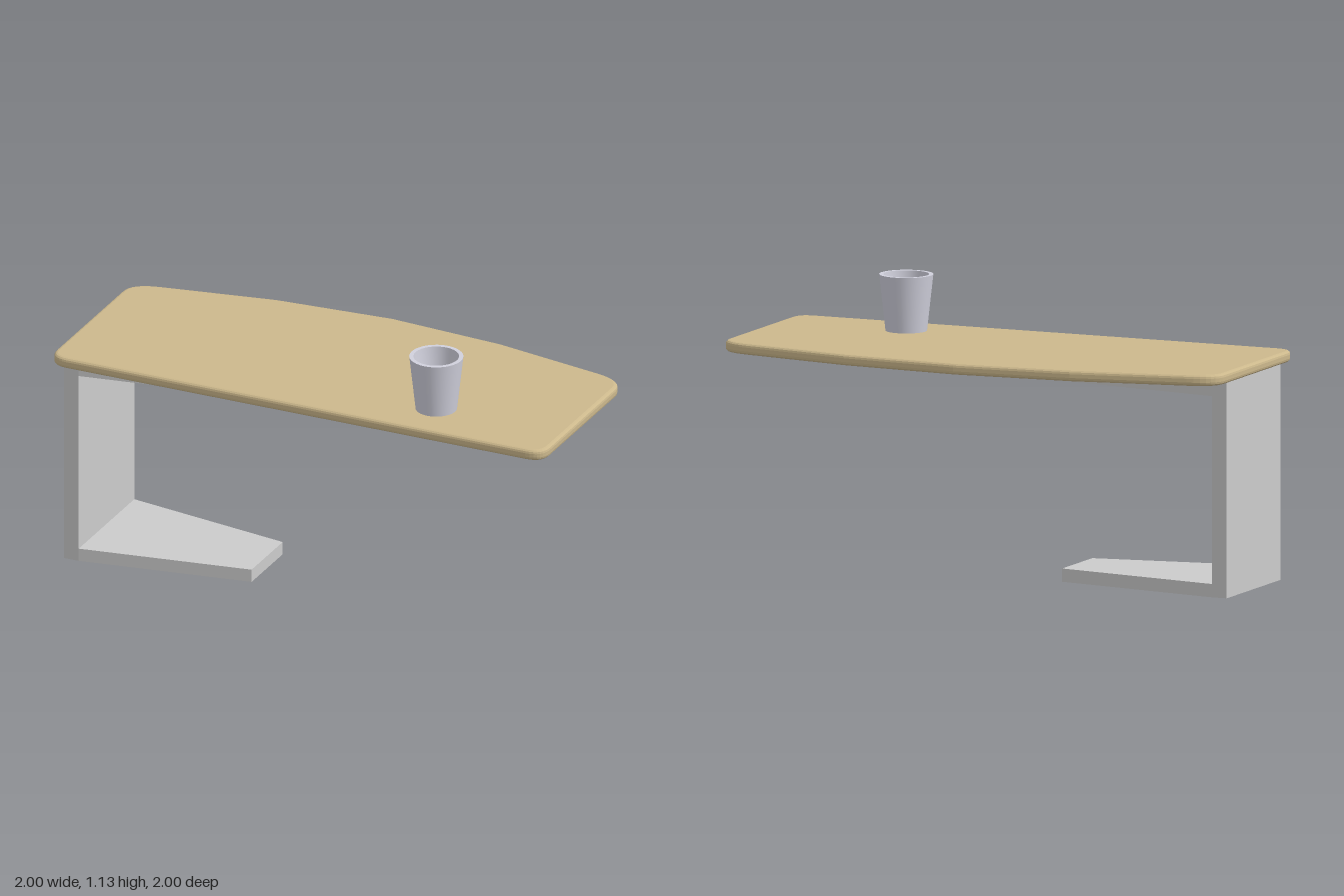
import * as THREE from 'three';

const wood = new THREE.MeshStandardMaterial({ color: 0xccb88c });
const grey = new THREE.MeshStandardMaterial({ color: 0xcccccc });
const cupGrey = new THREE.MeshStandardMaterial({ color: 0xd0d0dc });

// Flat slab: outline in plan, extruded upwards from y0 to y1, with optional rounded rim
function slab(name, shape, y0, y1, material, bevel = 0) {
  const geometry = new THREE.ExtrudeGeometry(shape, {
    depth: y1 - y0 - 2 * bevel,
    bevelEnabled: bevel > 0,
    bevelThickness: bevel,
    bevelSize: bevel,
    bevelOffset: -bevel,
    bevelSegments: 3,
    curveSegments: 8,
  });
  geometry.rotateX(-Math.PI / 2).translate(0, y0 + bevel, 0);
  const mesh = new THREE.Mesh(geometry, material);
  mesh.name = name;
  return mesh;
}

// Straight front edge, faceted bowed back edge, four rounded corners
function topOutline() {
  const s = new THREE.Shape();
  s.moveTo(-1.0, -0.375);
  s.lineTo(1.0, -0.375);
  s.quadraticCurveTo(1.075, -0.375, 1.075, -0.3);
  s.lineTo(1.075, 0.297);
  s.quadraticCurveTo(1.075, 0.381, 0.955, 0.403);
  s.lineTo(0.488, 0.488);
  s.lineTo(0, 0.523);
  s.lineTo(-0.488, 0.488);
  s.lineTo(-0.955, 0.403);
  s.quadraticCurveTo(-1.075, 0.381, -1.075, 0.297);
  s.lineTo(-1.075, -0.3);
  s.quadraticCurveTo(-1.075, -0.375, -1.0, -0.375);
  return s;
}

const polygon = (points) => new THREE.Shape(points.map(([x, y]) => new THREE.Vector2(x, y)));

export function createModel() {
  const model = new THREE.Group();
  model.name = 'sideTable';

  // The whole table stands diagonally
  const table = new THREE.Group();
  table.name = 'table';
  table.rotation.y = -Math.PI / 4;
  model.add(table);

  table.add(slab('tableTop', topOutline(), 0.865, 0.91, wood, 0.015));

  // C-shaped leg: upright plate between two tapered arms
  const leg = new THREE.Group();
  leg.name = 'leg';
  const arm = polygon([
    [-1.048, -0.289], [-0.985, -0.289], [-0.285, -0.177],
    [-0.285, 0.11], [-0.985, 0.224], [-1.048, 0.224],
  ]);
  const upright = polygon([[-1.048, -0.289], [-0.985, -0.289], [-0.985, 0.224], [-1.048, 0.224]]);
  leg.add(
    slab('footArm', arm, 0, 0.053, grey),
    slab('upright', upright, 0.053, 0.802, grey),
    slab('supportArm', arm, 0.802, 0.866, grey),
  );
  table.add(leg);

  // Hollow tapered cup; repeated points keep the rim and base edges sharp
  const profile = [
    [0, 0], [0.082, 0], [0.082, 0],
    [0.107, 0.225], [0.107, 0.225], [0.09, 0.225], [0.09, 0.225],
    [0.072, 0.05], [0.058, 0.028], [0.03, 0.018], [0, 0.015],
  ].map(([r, y]) => new THREE.Vector2(r, y));
  const cup = new THREE.Mesh(new THREE.LatheGeometry(profile, 32), cupGrey);
  cup.name = 'cup';
  cup.position.set(0.516, 0.91, 0.17);
  table.add(cup);

  return model;
}
